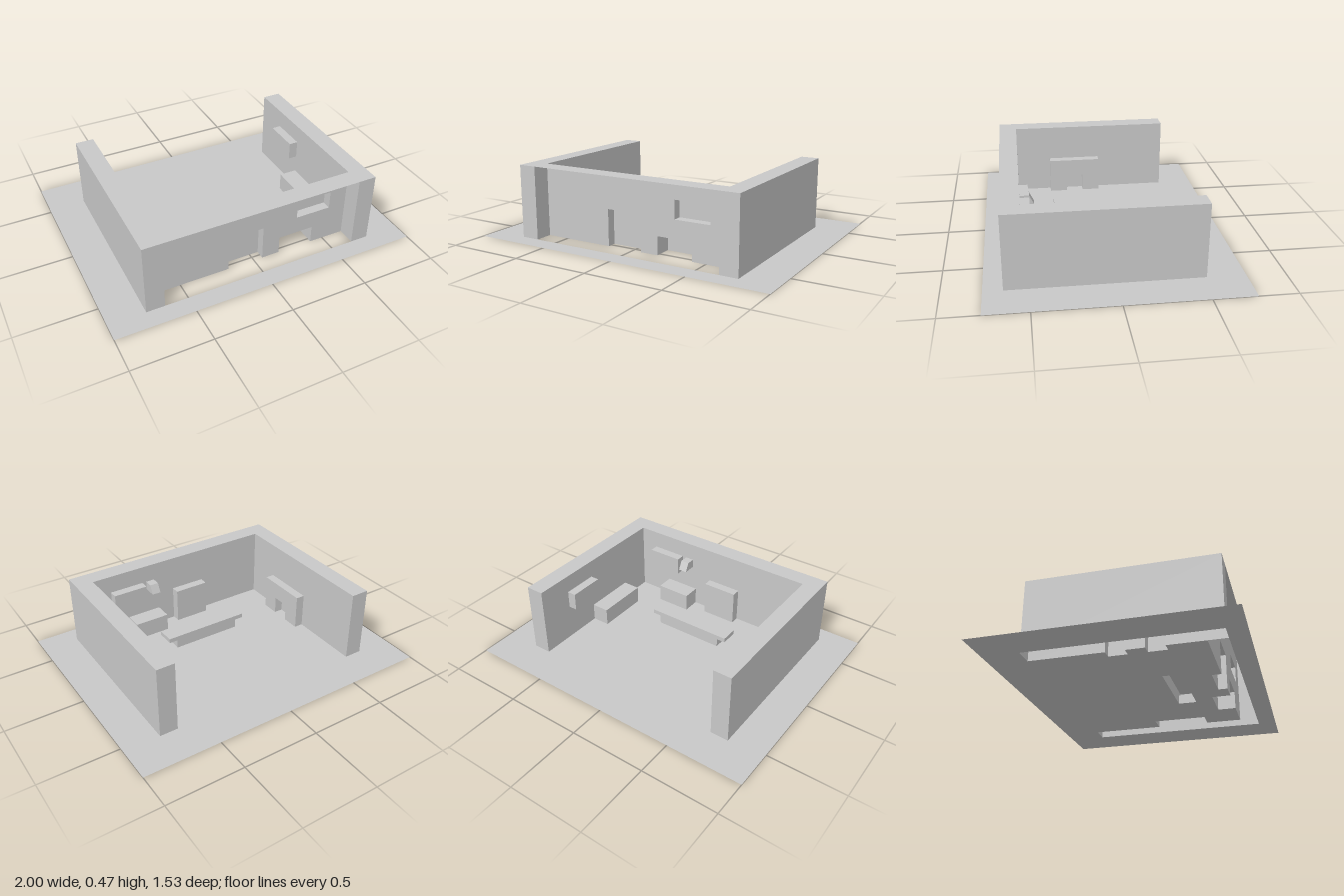
import * as THREE from 'three';
import { mergeGeometries } from 'three/addons/utils/BufferGeometryUtils.js';

// One floor module; every dimension below is counted in modules.
const U = 2 / 34;

// One side of a box [x0,y0,z0, x1,y1,z1] as a flat sheet, with box-shaped cut-outs left open.
function face(box, axis, dir, holes = []) {
  const a = axis, u = (a + 1) % 3, v = (a + 2) % 3;
  const at = dir > 0 ? box[a + 3] : box[a];
  const cuts = (k) => {
    const all = [box, ...holes].flatMap((b) => [b[k], b[k + 3]]);
    return [...new Set(all)].filter((c) => c >= box[k] && c <= box[k + 3]).sort((p, q) => p - q);
  };
  const us = cuts(u), vs = cuts(v), pos = [];
  for (let i = 0; i < us.length - 1; i++) {
    for (let j = 0; j < vs.length - 1; j++) {
      const mu = (us[i] + us[i + 1]) / 2, mv = (vs[j] + vs[j + 1]) / 2;
      if (holes.some((h) => mu > h[u] && mu < h[u + 3] && mv > h[v] && mv < h[v + 3])) continue;
      const c = [[i, j], [i + 1, j], [i + 1, j + 1], [i, j + 1]].map(([p, q]) => {
        const w = [0, 0, 0];
        w[a] = at; w[u] = us[p]; w[v] = vs[q];
        return w;
      });
      const order = dir > 0 ? [0, 1, 2, 0, 2, 3] : [0, 2, 1, 0, 3, 2];
      order.forEach((k) => pos.push(...c[k]));
    }
  }
  const g = new THREE.BufferGeometry();
  g.setAttribute('position', new THREE.Float32BufferAttribute(pos, 3));
  g.computeVertexNormals();
  return g;
}

// Several sides of a box, written like '+x -z +y'.
function faces(box, sides, holes) {
  return sides.split(' ').map((s) => face(box, 'xyz'.indexOf(s[1]), s[0] === '+' ? 1 : -1, holes));
}

export function createModel() {
  const group = new THREE.Group();
  const grey = new THREE.MeshStandardMaterial({ color: 0xc8c8c8, side: THREE.DoubleSide });
  grey.name = 'light grey';

  const add = (name, parts) => {
    const g = mergeGeometries(parts);
    g.scale(U, U, U);
    const mesh = new THREE.Mesh(g, grey);
    mesh.name = name;
    group.add(mesh);
  };

  // Layout
  const leftWall = [11, 0, -9, 13, 8, 11];
  const rightWall = [-13, 0, -9, -11, 8, 11];
  const frontWall = [-11, 0, 9, 11, 8, 11];
  const sideCounter = [9, 0, -1, 11, 2, 5];
  const sideCupboard = [10, 4, -5, 11, 6, -1];
  const tallUnit = [-3, 0, 8, 1, 4, 9];
  const frontCounter = [3, 0, 7, 7, 2, 9];
  const frontCupboard = [5, 4, 8, 9, 6, 9];
  const fireplace = [-11, 0, -1, -10, 4, 5];
  const hearth = [-11, 0, 1, -10, 2, 3];
  const legs = [[-11, 0, -1, -10, 2, 1], [-11, 0, 3, -10, 2, 5]];
  const lintel = [-11, 2, -1, -10, 4, 5];
  const tableBase = [-4, 0, 3, 4, 1, 5];
  const tableTop = [-5, 1, 3, 5, 1.5, 5];

  // Floor sheet, open beneath everything that stands on it
  add('floor', faces([-17, 0, -13, 17, 0, 13], '+y',
    [leftWall, rightWall, frontWall, sideCounter, tallUnit, frontCounter, tableBase, ...legs]));

  // Hollow walls; the front one is a recessed skin with a top strip
  add('leftWall', [
    ...faces(leftWall, '+x +y +z -z'),
    ...faces(leftWall, '-x', [sideCupboard]),
  ]);
  add('rightWall', [
    ...faces(rightWall, '-x +y +z -z'),
    ...faces(rightWall, '+x', [...legs, lintel]),
  ]);
  add('frontWall', [
    ...faces(frontWall, '+y'),
    ...faces(frontWall, '-z', [tallUnit, frontCounter, frontCupboard]),
  ]);

  // Fittings, open towards their wall
  add('sideCounter', faces(sideCounter, '-x +y +z -z'));
  add('sideCupboard', faces(sideCupboard, '-x +y -y +z -z'));
  add('tallUnit', faces(tallUnit, '-z +y +x -x'));
  add('frontCounter', faces(frontCounter, '-z +y +x -x'));
  add('frontCupboard', faces(frontCupboard, '-z +y -y +x -x'));

  // Fireplace with a square opening between its legs
  add('fireplace', [
    ...faces(fireplace, '+y +z -z'),
    ...faces(fireplace, '+x', [hearth]),
    ...faces(hearth, '+y +z -z'),
  ]);

  // Low table: slab overhanging a plinth
  add('tableBase', faces(tableBase, '+x -x +z -z'));
  add('tableTop', [
    ...faces(tableTop, '+x -x +y +z -z'),
    ...faces(tableTop, '-y', [tableBase]),
  ]);

  // Small wall bracket with a sloping face
  const profile = new THREE.Shape([[-9, 5], [-7.5, 5], [-8, 6], [-9, 6]].map((p) => new THREE.Vector2(...p)));
  const bracket = new THREE.ExtrudeGeometry(profile, { depth: 1, bevelEnabled: false });
  bracket.rotateY(Math.PI / 2).translate(3.5, 0, 0);
  add('wallBracket', [bracket]);

  return group;
}
